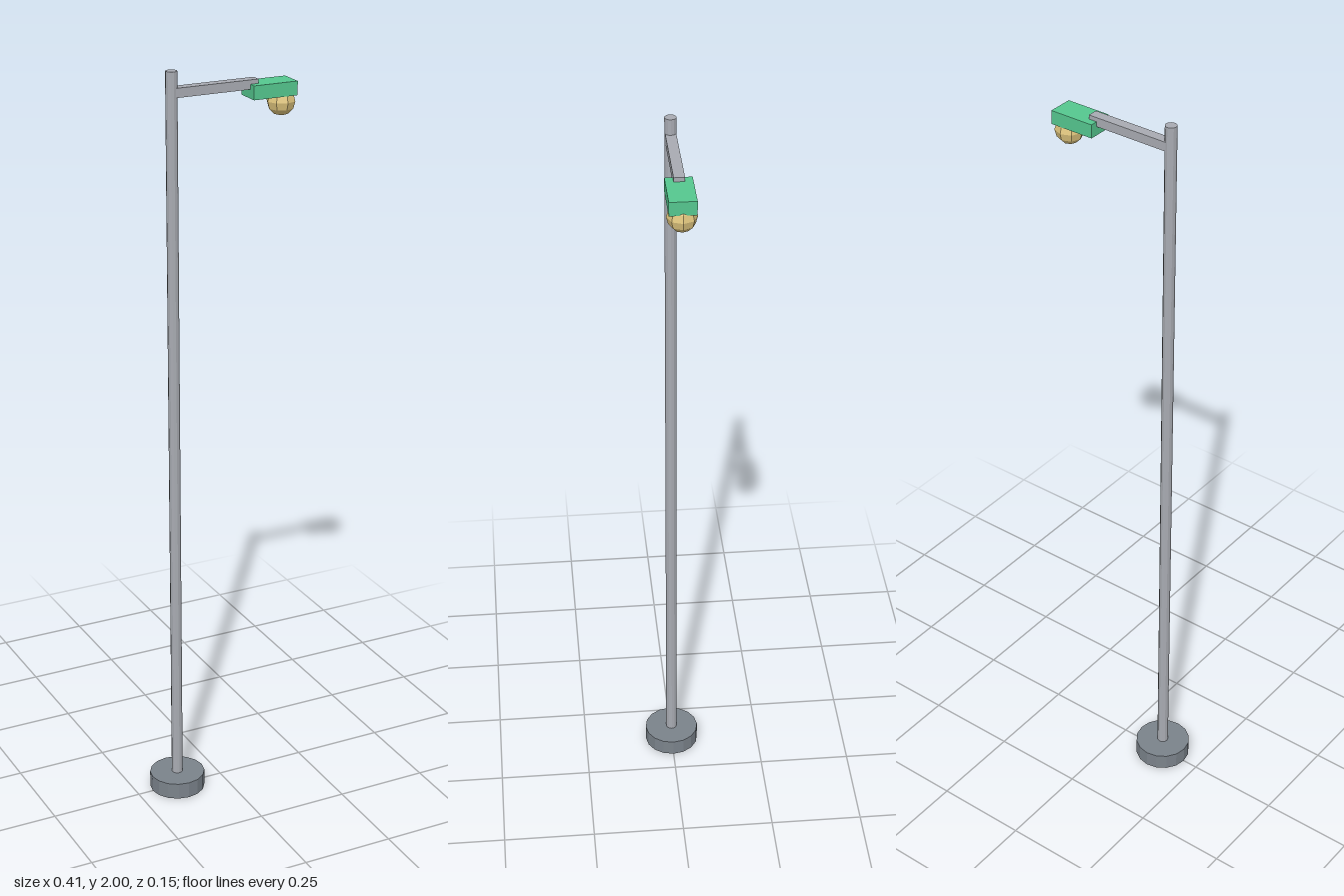
import * as THREE from 'three';

export function createModel() {
  const group = new THREE.Group();
  const poleX = -0.1325;

  const add = (name, geometry, color, x, y) => {
    const material = new THREE.MeshStandardMaterial({ color, flatShading: true });
    const mesh = new THREE.Mesh(geometry, material);
    mesh.name = name;
    mesh.position.set(x, y, 0);
    group.add(mesh);
  };

  // Round foot and tall pole
  add('base', new THREE.CylinderGeometry(0.075, 0.075, 0.045, 16), 0x7b838b, poleX, 0.0225);
  add('pole', new THREE.CylinderGeometry(0.015, 0.015, 1.96, 12), 0xa8abb2, poleX, 1.02);

  // Horizontal arm, overlapping the lamp housing
  const armEnd = 0.1;
  add('arm', new THREE.BoxGeometry(armEnd - poleX, 0.024, 0.027), 0xa8abb2, (armEnd + poleX) / 2, 1.947);

  // Lamp housing with a faceted bulb below
  add('lampHousing', new THREE.BoxGeometry(0.122, 0.036, 0.067), 0x55c78f, 0.138, 1.93);
  add('bulb', new THREE.SphereGeometry(0.0375, 8, 6), 0xe0c67e, 0.17, 1.895);

  return group;
}
